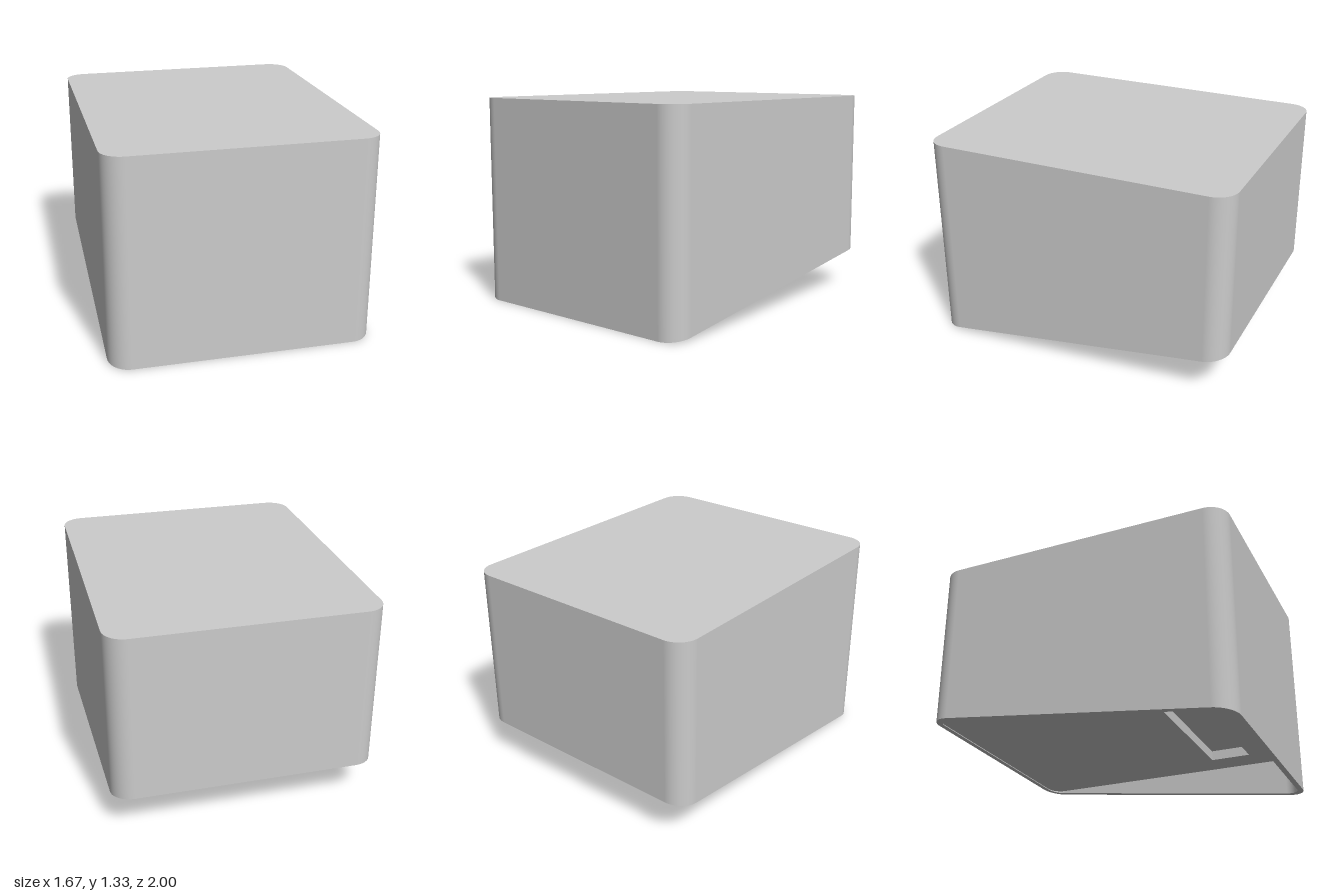
import * as THREE from 'three';

const TOP = 1.333, CEILING = 0.267, SLOT_TOP = 0.333;
const slope = (z) => (CEILING / 2) * (1 - z); // slanted underside, low at the front

// Rounded rectangle in the ground plane, each point with its outward normal
function outline(hx, hz, r, cz = 0) {
  const steps = r > 0 ? 12 : 1, pts = [];
  [[1, 1], [-1, 1], [-1, -1], [1, -1]].forEach(([sx, sz], corner) => {
    for (let i = 0; i <= steps; i++) {
      const a = (corner + i / steps) * Math.PI / 2;
      const nx = Math.cos(a), nz = Math.sin(a);
      pts.push({ x: sx * (hx - r) + r * nx, z: cz + sz * (hz - r) + r * nz, nx, nz });
    }
  });
  return pts;
}

// Upright wall along an outline, facing outward (dir 1) or inward (dir -1)
function wall(pts, bottom, top, dir) {
  const pos = [], nor = [], idx = [], n = pts.length;
  pts.forEach((p, i) => {
    pos.push(p.x, bottom(p.z), p.z, p.x, top(p.z), p.z);
    nor.push(dir * p.nx, 0, dir * p.nz, dir * p.nx, 0, dir * p.nz);
    const b = 2 * i, c = 2 * ((i + 1) % n);
    if (dir > 0) idx.push(b, b + 1, c + 1, b, c + 1, c);
    else idx.push(b, c + 1, b + 1, b, c, c + 1);
  });
  const g = new THREE.BufferGeometry();
  g.setAttribute('position', new THREE.Float32BufferAttribute(pos, 3));
  g.setAttribute('normal', new THREE.Float32BufferAttribute(nor, 3));
  g.setIndex(idx);
  return g;
}

// Flat face inside an outline, facing up or down, with an optional hole
function cap(pts, height, up, hole) {
  const s = up ? -1 : 1;
  const to2D = (list) => list.map((p) => new THREE.Vector2(p.x, s * p.z));
  const shape = new THREE.Shape(to2D(pts));
  if (hole) shape.holes.push(new THREE.Path(to2D(hole)));
  const g = new THREE.ShapeGeometry(shape).rotateX(s * Math.PI / 2);
  const p = g.attributes.position;
  for (let i = 0; i < p.count; i++) p.setY(i, height(p.getZ(i)));
  g.computeVertexNormals();
  return g;
}

export function createModel() {
  const group = new THREE.Group();
  const material = new THREE.MeshStandardMaterial({ color: 0xcccccc });
  const add = (name, geometry) => {
    const mesh = new THREE.Mesh(geometry, material);
    mesh.name = name;
    group.add(mesh);
  };
  const at = (y) => () => y;

  const outer = outline(0.833, 1, 0.133);
  const inner = outline(0.793, 0.96, 0.093);
  const slot = outline(0.6, 0.133, 0, 0.533);

  // Block with rounded upright edges
  add('outerWall', wall(outer, slope, at(TOP), 1));
  add('topFace', cap(outer, at(TOP), true));

  // Thin slanted rim around the hollow underside
  add('bottomRim', cap(outer, slope, false, inner));
  add('innerWall', wall(inner, slope, at(CEILING), -1));
  add('recessCeiling', cap(inner, at(CEILING), false, slot));

  // Shallow slot cut into the recess ceiling
  add('slotWall', wall(slot, at(CEILING), at(SLOT_TOP), -1));
  add('slotCeiling', cap(slot, at(SLOT_TOP), false));

  return group;
}
